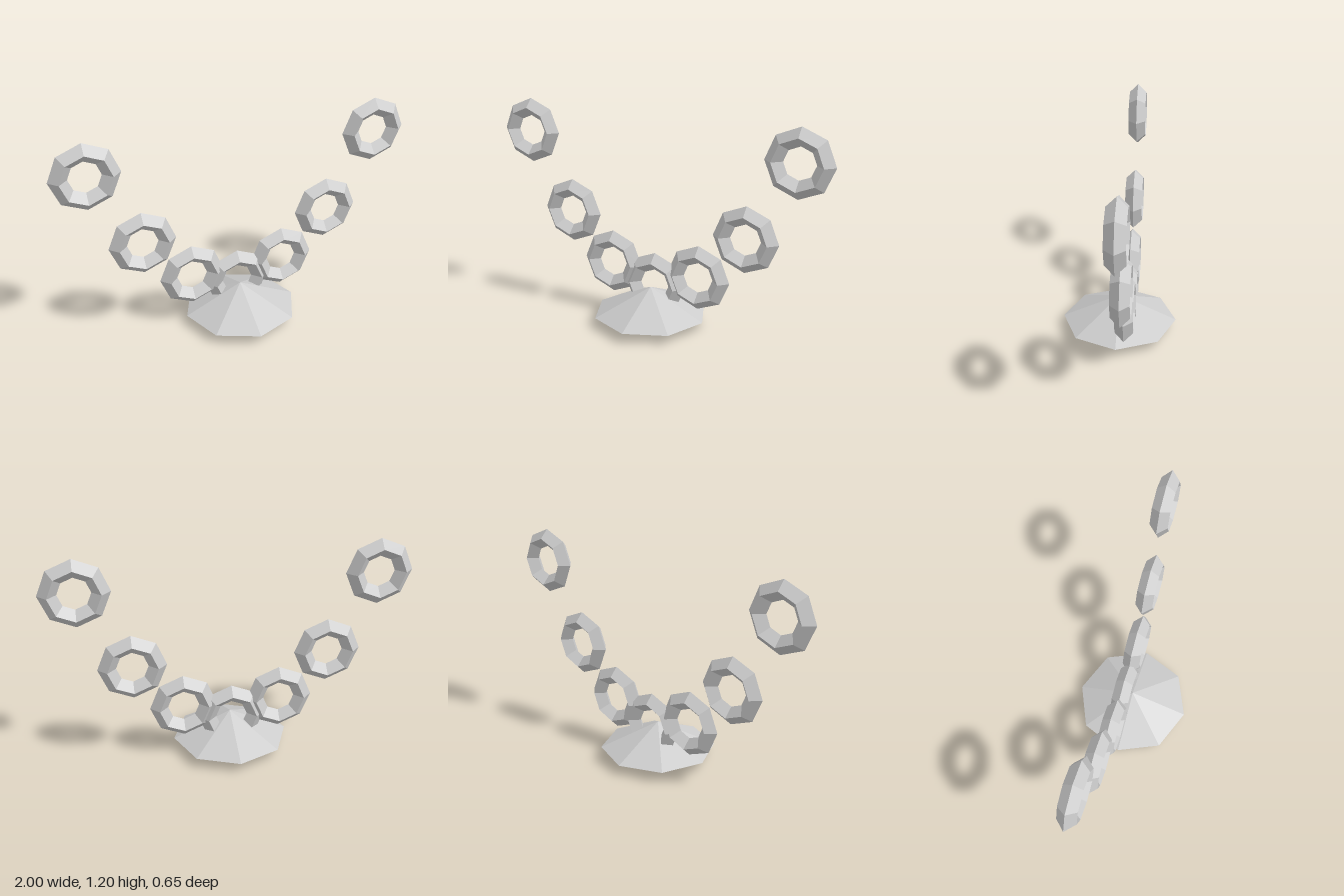
import * as THREE from 'three';

export function createModel() {
  const model = new THREE.Group();
  const grey = new THREE.MeshStandardMaterial({ color: 0xcccccc, flatShading: true });
  grey.name = 'light grey';

  // Eight-sided double cone, shallow below and steeper above
  const profile = [[0, 0], [0.325, 0.055], [0, 0.207]].map(([x, y]) => new THREE.Vector2(x, y));
  const base = new THREE.Mesh(new THREE.LatheGeometry(profile, 8), grey);
  base.name = 'base';
  model.add(base);

  // Seven octagonal rings with a diamond section, rising along a parabola
  const ringGeometry = new THREE.TorusGeometry(0.1375, 0.05, 4, 8);
  const names = ['rightOuterRing', 'rightMiddleRing', 'rightInnerRing', 'centreRing',
    'leftInnerRing', 'leftMiddleRing', 'leftOuterRing'];
  names.forEach((name, i) => {
    const n = i - 3;
    const ring = new THREE.Mesh(ringGeometry, grey);
    ring.name = name;
    ring.position.set(0.2708 * n, 0.207 + 0.09 * n * n, -0.05);
    model.add(ring);
  });

  return model;
}
